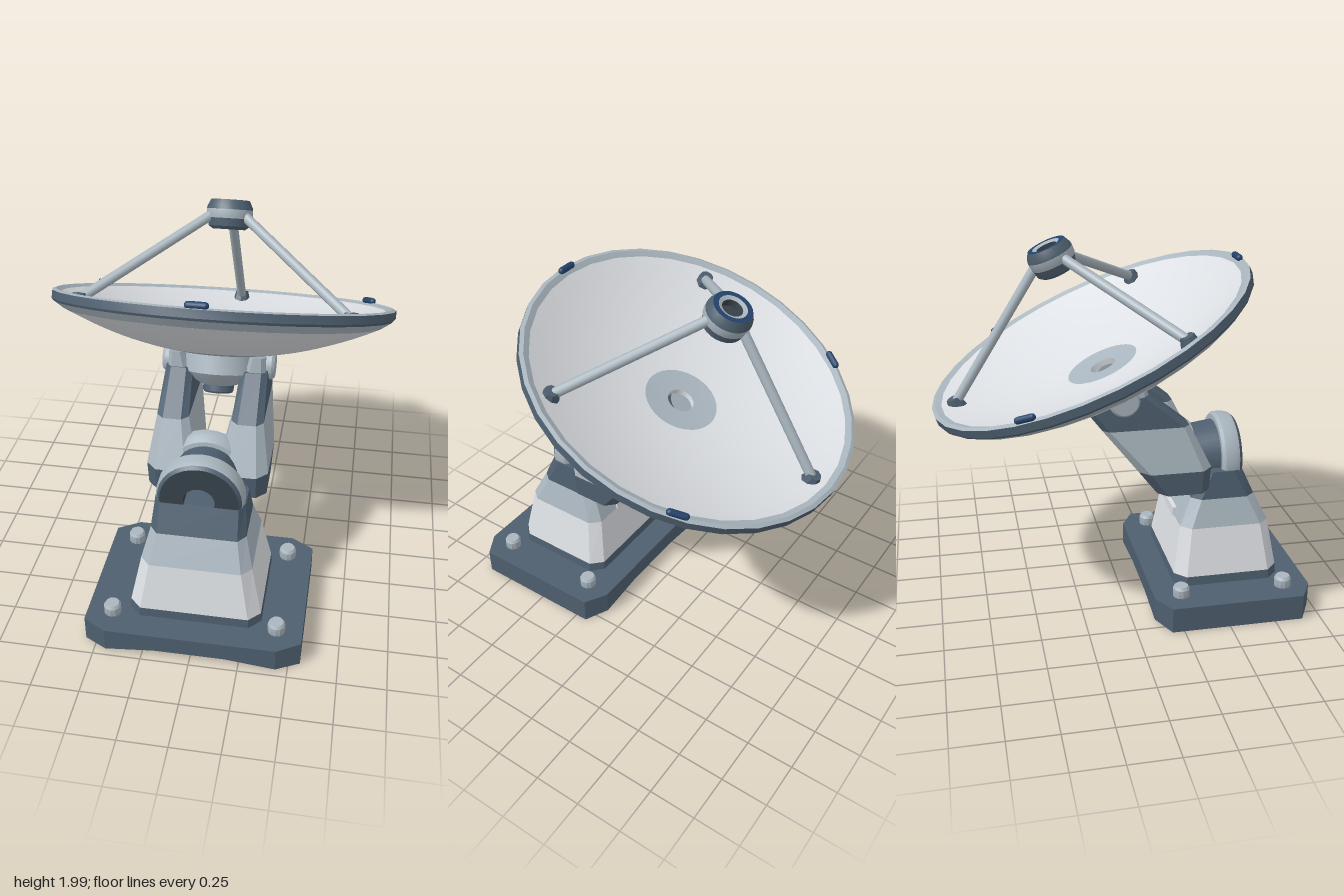
import * as THREE from 'three';
import { toCreasedNormals } from 'three/addons/utils/BufferGeometryUtils.js';

const mat = (name, color, side = THREE.FrontSide) => {
  const m = new THREE.MeshStandardMaterial({ color, side });
  m.name = name;
  return m;
};
const white = mat('off white paint', 0xdcdfe3);
const grey = mat('light blue grey', 0xa9b5be);
const slate = mat('slate blue', 0x4e5f6f, THREE.DoubleSide);
const dark = mat('dark steel', 0x39424b, THREE.DoubleSide);
const navy = mat('navy accent', 0x24436b);

function add(parent, name, geometry, material, x = 0, y = 0, z = 0) {
  const mesh = new THREE.Mesh(geometry, material);
  mesh.name = name;
  mesh.position.set(x, y, z);
  parent.add(mesh);
  return mesh;
}

// Revolved profile of [radius, height] points, keeping hard edges crisp
function lathe(parent, name, points, material, segments = 32) {
  const g = new THREE.LatheGeometry(points.map(p => new THREE.Vector2(...p)), segments);
  return add(parent, name, toCreasedNormals(g, 0.5), material);
}

// Horizontal rectangle with cut corners; slope tilts it along z
function octagon(y, x0, x1, z0, z1, cx, cz, slope = 0) {
  return [[x0 + cx, z1], [x1 - cx, z1], [x1, z1 - cz], [x1, z0 + cz],
    [x1 - cx, z0], [x0 + cx, z0], [x0, z0 + cz], [x0, z1 - cz]]
    .map(([x, z]) => [x, y + slope * z, z]);
}

// Flat-faced skin through matching cross-sections
function loft(sections, capBottom = true, capTop = true) {
  const out = [];
  const tri = (...c) => c.forEach(p => out.push(...p));
  const n = sections[0].length;
  for (let s = 0; s + 1 < sections.length; s++) {
    const lo = sections[s], hi = sections[s + 1];
    for (let i = 0; i < n; i++) {
      const j = (i + 1) % n;
      tri(lo[i], lo[j], hi[j]);
      tri(lo[i], hi[j], hi[i]);
    }
  }
  const first = sections[0], last = sections[sections.length - 1];
  for (let i = 1; i < n - 1; i++) {
    if (capBottom) tri(first[0], first[i + 1], first[i]);
    if (capTop) tri(last[0], last[i], last[i + 1]);
  }
  const g = new THREE.BufferGeometry();
  g.setAttribute('position', new THREE.Float32BufferAttribute(out, 3));
  g.computeVertexNormals();
  return g;
}

function rod(parent, name, a, b, radius, material) {
  const dir = b.clone().sub(a);
  const mesh = add(parent, name, new THREE.CylinderGeometry(radius, radius, dir.length(), 12), material);
  mesh.position.copy(a).add(b).multiplyScalar(0.5);
  mesh.quaternion.setFromUnitVectors(new THREE.Vector3(0, 1, 0), dir.normalize());
}

function buildBase(model) {
  // Hollow foot plate, arched along its front and back edges
  const outline = octagon(0.14, -0.56, 0.56, 0.115, 0.97, 0.12, 0.07);
  const top = [outline[0], [-0.18, 0.14, 0.97], [0.18, 0.14, 0.97], ...outline.slice(1, 5),
    [0.18, 0.14, 0.115], [-0.18, 0.14, 0.115], ...outline.slice(5)];
  const bottom = top.map(([x, , z]) => [x, 0.04 * Math.min(1, (0.56 - Math.abs(x)) / 0.38), z]);
  add(model, 'footPlate', loft([bottom, top], false, true), slate);
  for (const x of [-0.427, 0.427]) for (const z of [0.26, 0.825]) {
    const bolt = lathe(model, 'bolt', [[0, -0.012], [0.04, -0.012], [0.045, 0], [0.045, 0.045], [0.036, 0.06], [0, 0.06]], grey, 12);
    bolt.position.set(x, 0.14, z);
  }

  // Tapered pedestal in colour bands
  const rings = [
    octagon(0.13, -0.345, 0.345, 0.25, 0.835, 0.06, 0.06),
    octagon(0.19, -0.34, 0.34, 0.255, 0.83, 0.06, 0.06),
    octagon(0.45, -0.285, 0.285, 0.295, 0.785, 0.05, 0.055),
    octagon(0.6, -0.245, 0.245, 0.36, 0.71, 0.04, 0.05),
    octagon(0.75, -0.23, 0.23, 0.42, 0.64, 0.03, 0.05),
  ];
  ['pedestalPlinth', 'pedestalLower', 'pedestalBand', 'pedestalTop'].forEach((name, i) =>
    add(model, name, loft([rings[i], rings[i + 1]], i === 0, i === 3), [slate, white, grey, slate][i]));
  add(model, 'rearHandle', new THREE.BoxGeometry(0.18, 0.05, 0.04), white, 0, 0.465, 0.31);
}

function buildHinge(model) {
  // Bored hinge drum lying along z
  const hinge = new THREE.Group();
  hinge.name = 'hinge';
  hinge.position.set(0, 0.77, 0);
  hinge.rotation.x = Math.PI / 2;
  model.add(hinge);
  lathe(hinge, 'frontFlange', [[0.18, 0.53], [0.21, 0.53], [0.225, 0.545], [0.225, 0.6], [0.215, 0.625]], grey);
  lathe(hinge, 'frontFlangeEdge', [[0.215, 0.625], [0.2, 0.642]], slate);
  lathe(hinge, 'frontFace', [[0.2, 0.642], [0.08, 0.642]], dark);
  lathe(hinge, 'core', [[0.165, 0.38], [0.185, 0.54]], slate);
  lathe(hinge, 'rearFlange', [[0.08, 0.3], [0.2, 0.3], [0.213, 0.315], [0.213, 0.35], [0.19, 0.395], [0.16, 0.4]], grey);
  lathe(hinge, 'bore', [[0.08, 0.642], [0.08, 0.3]], dark);
}

function buildFork(model) {
  // Pair of leaning arms carrying the dish pivot
  for (const side of [-1, 1]) {
    const arm = new THREE.Group();
    arm.name = side > 0 ? 'leftArm' : 'rightArm';
    model.add(arm);
    const ring = (y, xi, xo, z0, z1, c, slope) =>
      octagon(y, side > 0 ? xi : -xo, side > 0 ? xo : -xi, z0, z1, c, c, slope);
    const rings = [
      ring(0.67, 0.065, 0.31, 0.16, 0.44, 0.05),
      ring(0.8, 0.05, 0.315, 0.06, 0.45, 0.055),
      ring(1.04, 0.11, 0.275, -0.13, 0.33, 0.035),
      ring(1.195, 0.125, 0.265, -0.215, 0.115, 0.03, 0.2),
    ];
    ['armFoot', 'armMiddle', 'armHead'].forEach((name, i) =>
      add(arm, name, loft([rings[i], rings[i + 1]], i === 0, i === 2), [slate, grey, slate][i]));
    add(arm, 'armCap', loft([ring(1.18, 0.15, 0.255, -0.12, 0.11, 0.02, 0.2),
      ring(1.26, 0.17, 0.25, -0.1, 0.1, 0.02, 0.4)]), grey);
    const pin = lathe(arm, 'pivotPin', [[0, 0.12], [0.08, 0.12], [0.08, 0.28], [0.068, 0.295], [0, 0.295]], grey, 20);
    pin.position.set(0, 1.2, -0.02);
    pin.rotation.z = -side * Math.PI / 2;
  }
}

function buildDish(model) {
  const dish = new THREE.Group();
  dish.name = 'dish';
  dish.position.set(0, 1.475, -0.155);
  dish.rotation.x = -0.417;
  model.add(dish);

  // Parabolic bowl, inside and outside
  const bowl = (r0, r1, depth, k, n = 10) => Array.from({ length: n + 1 }, (_, i) => {
    const r = r0 + (r1 - r0) * i / n;
    return [r, k * r * r - depth];
  });
  lathe(dish, 'bowlBack', bowl(0.36, 0.83, 0.275, 0.3), white);
  lathe(dish, 'backPlate', bowl(0.07, 0.36, 0.275, 0.3, 5), grey);
  lathe(dish, 'bowlFront', bowl(0.84, 0.195, 0.18, 0.272), white);
  lathe(dish, 'centreDisc', bowl(0.195, 0.07, 0.18, 0.272, 4), grey);
  lathe(dish, 'holeEdge', [[0.07, -0.179], [0.07, -0.21]], white);
  lathe(dish, 'rimUnderside', [[0.83, -0.0683], [0.883, -0.032]], grey);
  lathe(dish, 'rimBand', [[0.883, -0.032], [0.892, -0.02], [0.89, 0.02]], slate);
  lathe(dish, 'rimTop', [[0.89, 0.02], [0.87, 0.027], [0.84, 0.0119]], grey);

  // Hub behind the bowl with a short collar
  lathe(dish, 'hub', [[0.08, -0.43], [0.1, -0.43], [0.17, -0.385], [0.2, -0.36], [0.2, -0.25]], grey);
  lathe(dish, 'hubCollar', [[0.055, -0.44], [0.058, -0.475], [0.075, -0.475], [0.082, -0.465], [0.082, -0.42]], slate, 24);
  lathe(dish, 'hubPlug', [[0, -0.44], [0.056, -0.44]], dark, 24);

  // Feed head above the bowl
  lathe(dish, 'feedBottom', [[0, 0.375], [0.085, 0.375], [0.105, 0.39], [0.116, 0.43]], slate, 24);
  lathe(dish, 'feedBody', [[0.116, 0.43], [0.12, 0.44], [0.12, 0.475]], grey, 24);
  lathe(dish, 'feedCap', [[0.12, 0.475], [0.117, 0.49], [0.1, 0.524]], slate, 24);
  lathe(dish, 'feedTopRing', [[0.1, 0.524], [0.073, 0.524]], navy, 24);
  lathe(dish, 'feedInnerRing', [[0.073, 0.524], [0.053, 0.515]], grey, 24);
  lathe(dish, 'feedOpening', [[0.053, 0.515], [0.05, 0.48], [0, 0.48]], dark, 24);

  // Three struts with feet, and rim clips midway between them
  for (let i = 0; i < 3; i++) {
    const a = Math.PI + i * Math.PI * 2 / 3;
    const polar = (r, y, t) => new THREE.Vector3(r * Math.sin(t), y, r * Math.cos(t));
    const foot = polar(0.77, -0.01, a);
    rod(dish, 'strut', foot, polar(0.09, 0.45, a), 0.026, grey);
    const knob = add(dish, 'strutFoot', toCreasedNormals(new THREE.CylinderGeometry(0.035, 0.052, 0.06, 8), 0.5), slate);
    knob.position.copy(foot);
    const clip = add(dish, 'rimClip', new THREE.CapsuleGeometry(0.018, 0.076, 4, 10).rotateZ(Math.PI / 2), navy);
    clip.position.copy(polar(0.868, 0.036, a + Math.PI));
    clip.rotation.y = a + Math.PI;
  }
}

export function createModel() {
  const model = new THREE.Group();
  model.name = 'dishAntenna';
  buildBase(model);
  buildHinge(model);
  buildFork(model);
  buildDish(model);
  return model;
}
